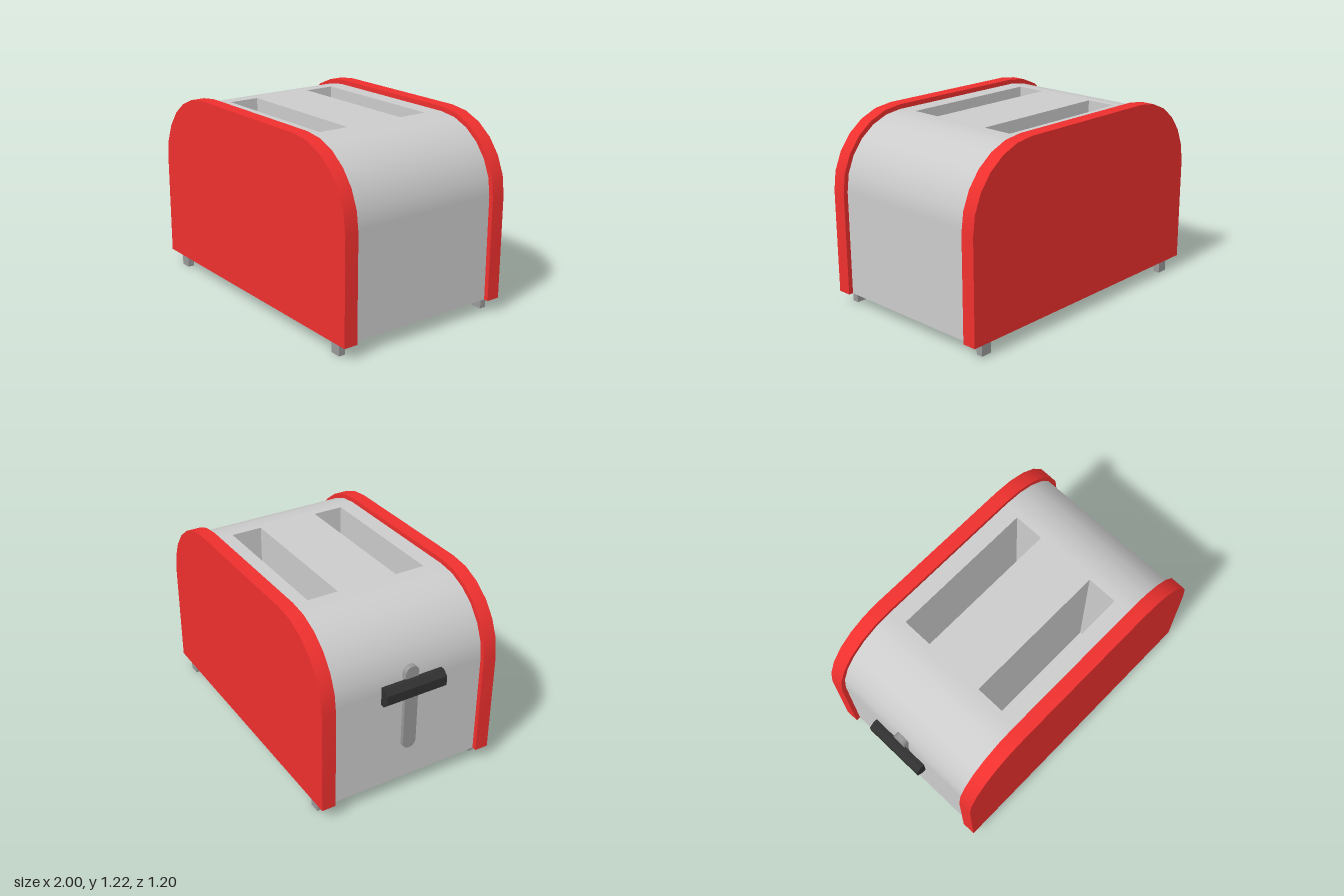
import * as THREE from 'three';
import { toCreasedNormals } from 'three/addons/utils/BufferGeometryUtils.js';

const CX = 0.025;          // middle of the housing, the lever sticks out at -x
const BASE = 0.085;        // underside of the housing
const ARC_Y = 0.75, ARC_X = 0.505, STEPS = 6; // centre and steps of the corner arcs

const material = (color, side = THREE.FrontSide) =>
  new THREE.MeshStandardMaterial({ color, side });
const grey = material(0xcccccc);
const greyDouble = material(0xcccccc, THREE.DoubleSide);
const darkGrey = material(0x999999);
const red = material(0xee302e);
const black = material(0x303030);

function add(group, name, geometry, mat, x = 0, y = 0, z = 0) {
  const mesh = new THREE.Mesh(geometry, mat);
  mesh.name = name;
  mesh.position.set(x, y, z);
  group.add(mesh);
  return mesh;
}

// Outline from the base up over one rounded shoulder, with outward normals
function shoulder(radius, side) {
  const points = [{ x: side * (ARC_X + radius), y: BASE, nx: side, ny: 0 }];
  for (let i = 0; i <= STEPS; i++) {
    const a = (i / STEPS) * Math.PI / 2;
    points.push({
      x: side * (ARC_X + radius * Math.cos(a)), y: ARC_Y + radius * Math.sin(a),
      nx: side * Math.cos(a), ny: Math.sin(a),
    });
  }
  return points;
}

function panelGeometry(radius, depth) {
  const outline = [...shoulder(radius, 1), ...shoulder(radius, -1).reverse()];
  const shape = new THREE.Shape(outline.map(p => new THREE.Vector2(p.x, p.y)));
  const geo = new THREE.ExtrudeGeometry(shape, { depth, bevelEnabled: false });
  return toCreasedNormals(geo, 0.6);
}

// Smooth curved side wall swept along z
function sideWallGeometry(radius, halfDepth, side) {
  const profile = shoulder(radius, side);
  const geo = new THREE.PlaneGeometry(1, 1, profile.length - 1, 1);
  const pos = geo.attributes.position, normal = geo.attributes.normal;
  for (let i = 0; i < pos.count; i++) {
    const p = profile[i % profile.length];
    const z = (i < profile.length ? -1 : 1) * side * halfDepth;
    pos.setXYZ(i, p.x, p.y, z);
    normal.setXYZ(i, p.nx, p.ny, 0);
  }
  return geo;
}

function rectangle(path, x0, y0, x1, y1) {
  path.moveTo(x0, y0);
  path.lineTo(x1, y0);
  path.lineTo(x1, y1);
  path.lineTo(x0, y1);
  path.closePath();
  return path;
}

export function createModel() {
  const model = new THREE.Group();
  model.name = 'toaster';

  // Metal housing: two curved walls, a slotted core and the bottom plate
  const housing = new THREE.Group();
  housing.name = 'housing';
  model.add(housing);
  const radius = 0.44, half = 0.51, top = ARC_Y + radius, floor = 0.3;
  for (const side of [1, -1]) {
    add(housing, side > 0 ? 'leftWall' : 'rightWall',
      sideWallGeometry(radius, half, side), greyDouble, CX);
  }
  const coreShape = rectangle(new THREE.Shape(), -ARC_X, -half, ARC_X, half);
  for (const z of [-0.4, 0.2]) {
    coreShape.holes.push(rectangle(new THREE.Path(), -0.478, z, 0.475, z + 0.2));
  }
  const core = new THREE.ExtrudeGeometry(coreShape, { depth: top - floor, bevelEnabled: false });
  core.rotateX(-Math.PI / 2);
  add(housing, 'slottedTop', core, grey, CX, floor);
  add(housing, 'slotFloor', new THREE.BoxGeometry(2 * ARC_X, 0.02, 2 * half), grey, CX, floor - 0.01);
  add(housing, 'bottomPlate', new THREE.BoxGeometry(2 * (ARC_X + radius), 0.02, 2 * half),
    grey, CX, BASE + 0.01);

  // Coloured end panels, slightly larger than the housing
  const panel = panelGeometry(0.47, 0.09);
  add(model, 'frontPanel', panel, red, CX, 0, 0.51);
  add(model, 'backPanel', panel, red, CX, 0, -0.6);

  // Feet
  for (const x of [-0.815, 0.882]) {
    for (const z of [-0.554, 0.554]) {
      add(model, 'foot', new THREE.BoxGeometry(0.072, BASE, 0.043), darkGrey, x, BASE / 2, z);
    }
  }

  // Raised lever track with rounded ends
  const lever = new THREE.Group();
  lever.name = 'lever';
  model.add(lever);
  const w = 0.045;
  const track = new THREE.Shape();
  track.absarc(0, 0.885 - w, w, 0, Math.PI);
  track.absarc(0, 0.31 + w, w, Math.PI, 2 * Math.PI);
  const trackGeo = new THREE.ExtrudeGeometry(track, { depth: 0.035, bevelEnabled: false, curveSegments: 8 });
  trackGeo.rotateY(-Math.PI / 2);
  add(lever, 'leverTrack', toCreasedNormals(trackGeo, 0.6), darkGrey, -0.91);

  // Lever handle with chamfered outer edges
  const handle = new THREE.Shape([
    [-0.938, 0.69], [-0.938, 0.81], [-0.967, 0.81], [-1, 0.78], [-1, 0.72], [-0.967, 0.69],
  ].map(([x, y]) => new THREE.Vector2(x, y)));
  add(lever, 'leverHandle',
    new THREE.ExtrudeGeometry(handle, { depth: 0.41, bevelEnabled: false }), black, 0, 0, -0.205);

  return model;
}
